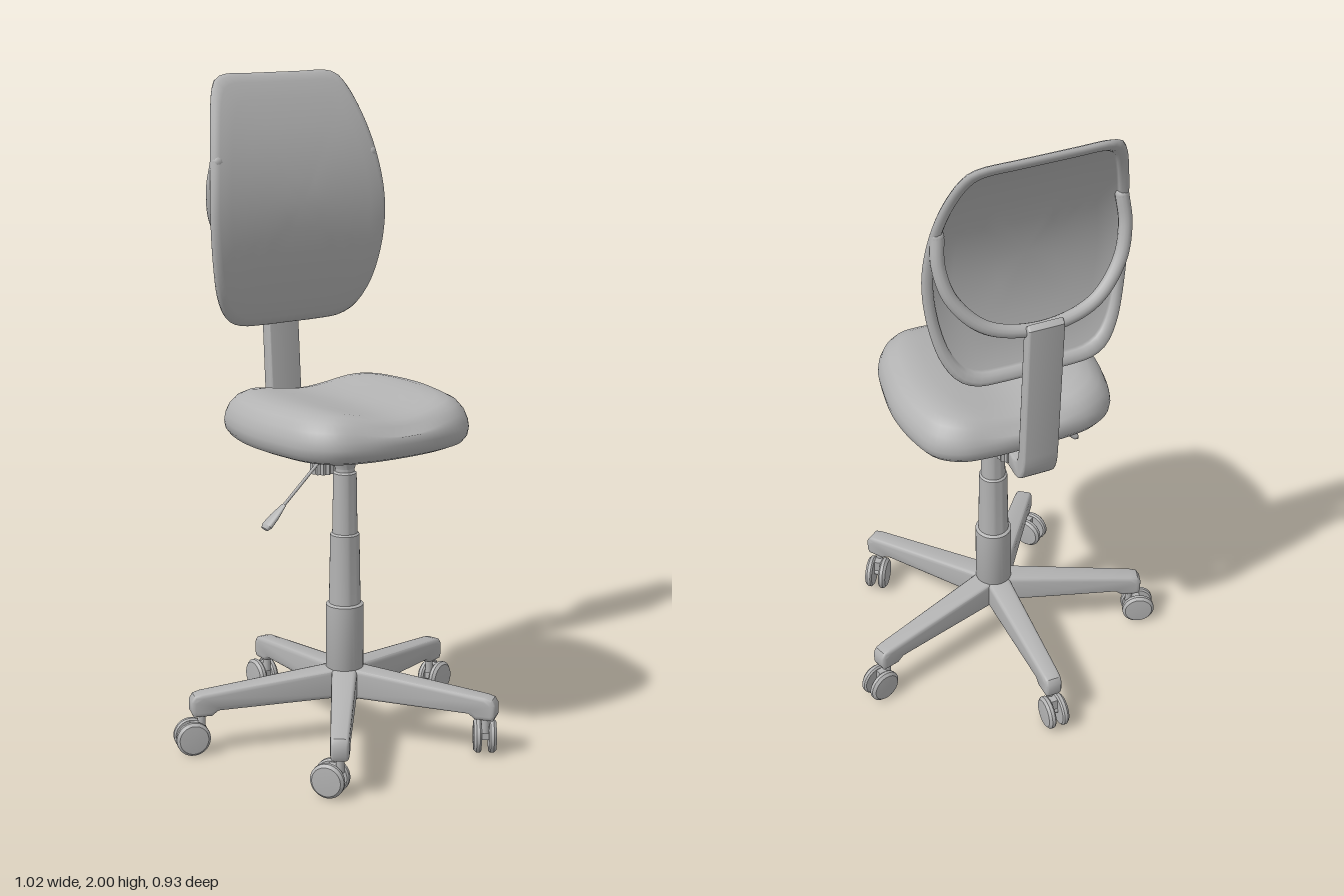
import * as THREE from 'three';
import { mergeVertices, toCreasedNormals } from 'three/addons/utils/BufferGeometryUtils.js';

const grey = new THREE.MeshStandardMaterial({ color: 0xb3b3b3 });
grey.name = 'plain grey';
const V = (x, y, z) => new THREE.Vector3(x, y, z);
const AXIS_Z = 0.07; // the column stands slightly forward of centre

function add(parent, name, geometry, x = 0, y = 0, z = 0) {
  const mesh = new THREE.Mesh(geometry, grey);
  mesh.name = name;
  mesh.position.set(x, y, z);
  parent.add(mesh);
  return mesh;
}

// Closed cushion: scaled copies of a mirrored outline, joined ring to ring
function cushion(half, centre, rings, place) {
  const pts = [...half, ...half.slice(1, -1).reverse().map(([u, v]) => [-u, v])].map(([u, v]) => V(u, v, 0));
  const n = 96;
  const loop = new THREE.CatmullRomCurve3(pts, true).getSpacedPoints(n).slice(0, n);
  const pos = [], index = [];
  rings.forEach(([s, h], i) => loop.forEach((p, j) => {
    pos.push(...place(p.x * s, centre + (p.y - centre) * s, h));
    if (i === rings.length - 1) return;
    const a = i * n + j, b = i * n + (j + 1) % n;
    index.push(a, a + n, b + n, a, b + n, b);
  }));
  let g = new THREE.BufferGeometry();
  g.setAttribute('position', new THREE.Float32BufferAttribute(pos, 3));
  g.setIndex(index);
  g = mergeVertices(g, 1e-5);
  g.computeVertexNormals();
  return g;
}

// Side profile in (z, y), extruded across x with rounded edges
function sideExtrude(shape, width, bevel) {
  const g = new THREE.ExtrudeGeometry(shape, {
    depth: width - 2 * bevel, bevelEnabled: true, bevelSize: bevel, bevelThickness: bevel,
    bevelOffset: -bevel, bevelSegments: 3, curveSegments: 10,
  });
  g.rotateY(-Math.PI / 2);
  g.translate(width / 2 - bevel, 0, 0);
  return g;
}

const lathe = (points, n = 32) =>
  toCreasedNormals(new THREE.LatheGeometry(points.map(([r, y]) => new THREE.Vector2(r, y)), n), 0.6);

function makeCaster() {
  const caster = new THREE.Group();
  caster.name = 'caster';
  add(caster, 'casterStem', new THREE.CylinderGeometry(0.012, 0.012, 0.07, 16), 0, 0.11, 0);
  add(caster, 'casterBody', new THREE.BoxGeometry(0.022, 0.045, 0.04), 0, 0.075, 0.015);
  for (const side of [-1, 1]) {
    // domed wheel with its flat face inward
    const wheel = lathe([[0, 0], [0.047, 0], [0.052, 0.005], [0.052, 0.015], [0.044, 0.023], [0, 0.026]]);
    wheel.rotateZ(-side * Math.PI / 2);
    add(caster, 'casterWheel', wheel, side * 0.011, 0.053, 0.03);
  }
  const axle = new THREE.CylinderGeometry(0.01, 0.01, 0.03, 12);
  axle.rotateZ(Math.PI / 2);
  add(caster, 'casterAxle', axle, 0, 0.053, 0.03);
  return caster;
}

function makeBase() {
  const base = new THREE.Group();
  base.name = 'starBase';
  base.position.z = AXIS_Z;
  const profile = new THREE.Shape([[0, 0.14], [0.4, 0.135], [0.42, 0.12], [0.475, 0.12], [0.482, 0.135],
    [0.482, 0.17], [0.472, 0.186], [0.45, 0.192], [0, 0.237]].map(([z, y]) => new THREE.Vector2(z, y)));
  const arm = sideExtrude(profile, 0.08, 0.014);
  // taper the arm towards its tip
  const p = arm.attributes.position;
  for (let i = 0; i < p.count; i++) p.setX(i, p.getX(i) * (1 - 0.32 * p.getZ(i) / 0.48));
  const armGeometry = toCreasedNormals(arm, 0.7);

  // arm direction and the way its caster has swivelled, in degrees
  for (const [angle, heading] of [[36, 145], [-36, -145], [108, 108], [-108, -108], [180, 180]]) {
    const a = THREE.MathUtils.degToRad(angle);
    add(base, 'baseArm', armGeometry).rotation.y = a;
    const caster = makeCaster();
    caster.position.set(Math.sin(a) * 0.448, 0, Math.cos(a) * 0.448);
    caster.rotation.y = THREE.MathUtils.degToRad(heading);
    base.add(caster);
  }
  return base;
}

export function createModel() {
  const chair = new THREE.Group();
  chair.name = 'officeChair';
  chair.add(makeBase());

  // telescopic column flaring into the seat plate
  add(chair, 'column', lathe([[0, 0.13], [0.045, 0.13], [0.057, 0.15], [0.057, 0.43], [0.048, 0.435], [0.044, 0.65],
    [0.038, 0.655], [0.035, 0.84], [0.029, 0.845], [0.029, 0.865]]), 0, 0, AXIS_Z);
  add(chair, 'seatPlate', lathe([[0, 0.855], [0.03, 0.855], [0.036, 0.882], [0.055, 0.905], [0.09, 0.923],
    [0.14, 0.934], [0.17, 0.938], [0.172, 0.955]], 40), 0, 0, AXIS_Z);

  // padded saddle-shaped seat
  const seatHalf = [[0, -0.402], [0.13, -0.393], [0.23, -0.36], [0.287, -0.29], [0.316, -0.17], [0.327, -0.06],
    [0.315, 0.06], [0.282, 0.155], [0.215, 0.203], [0.12, 0.218], [0, 0.22]];
  const seatRings = [[0, 1.09], [0.15, 1.09], [0.3, 1.09], [0.45, 1.09], [0.6, 1.09], [0.72, 1.089], [0.82, 1.083],
    [0.9, 1.069], [0.96, 1.045], [0.99, 1.02], [1, 0.998], [0.99, 0.976], [0.95, 0.958], [0.88, 0.948],
    [0.75, 0.943], [0.4, 0.943], [0, 0.943]];
  add(chair, 'seat', cushion(seatHalf, -0.09, seatRings, (u, v, h) => {
    const dip = h > 1.03 ? 0.026 * Math.max(0, 1 - (u / 0.22) ** 2) ** 2 : 0;
    return [u, h - dip, -v];
  }));

  // backrest bent over its height, with a raised rim behind
  const bend = (y) => -0.152 - (y > 1.57 ? 0.72 : 0.62) * (y - 1.57) ** 2;
  const backHalf = [[0, 1.25], [0.1, 1.25], [0.18, 1.256], [0.228, 1.28], [0.268, 1.34], [0.297, 1.45], [0.309, 1.6],
    [0.292, 1.76], [0.265, 1.88], [0.238, 1.955], [0.215, 1.988], [0.18, 2], [0.09, 2], [0, 2]];
  const backRings = [[0, 0], [0.2, 0], [0.4, 0], [0.6, 0], [0.8, 0], [0.93, 0], [0.98, -0.004], [1, -0.014],
    [0.992, -0.025], [0.96, -0.032], [0.92, -0.03], [0.9, -0.022], [0.895, -0.012], [0.7, -0.012], [0.5, -0.012],
    [0.3, -0.012], [0, -0.012]];
  add(chair, 'backrest', cushion(backHalf, 1.62, backRings, (u, v, h) => [u, v, bend(v) + h]));

  // curved cradle tying the backrest rim to the upright
  const cradle = new THREE.CatmullRomCurve3([V(-0.272, 1.755, -0.195), V(-0.277, 1.67, -0.212), V(-0.25, 1.57, -0.238),
    V(-0.16, 1.475, -0.268), V(0, 1.44, -0.28), V(0.16, 1.475, -0.268), V(0.25, 1.57, -0.238), V(0.277, 1.67, -0.212),
    V(0.272, 1.755, -0.195)]);
  add(chair, 'backCradle', new THREE.TubeGeometry(cradle, 64, 0.02, 12));
  for (const side of [-1, 1]) add(chair, 'cradleEnd', new THREE.SphereGeometry(0.02, 16, 10), side * 0.272, 1.755, -0.195);

  // upright bar curving under the seat
  const bar = new THREE.Shape();
  bar.moveTo(-0.17, 0.885);
  bar.lineTo(-0.22, 0.882);
  bar.bezierCurveTo(-0.265, 0.885, -0.283, 0.93, -0.287, 0.99);
  bar.lineTo(-0.315, 1.46);
  bar.lineTo(-0.298, 1.472);
  bar.lineTo(-0.275, 1.45);
  bar.lineTo(-0.246, 1.02);
  bar.bezierCurveTo(-0.243, 0.96, -0.235, 0.942, -0.205, 0.94);
  bar.lineTo(-0.17, 0.94);
  add(chair, 'backUpright', toCreasedNormals(sideExtrude(bar, 0.11, 0.007), 0.6));
  add(chair, 'backBracket', new THREE.BoxGeometry(0.07, 0.032, 0.26), 0, 0.922, -0.08);

  // fluted adjusting knob
  add(chair, 'knobStem', new THREE.CylinderGeometry(0.01, 0.01, 0.08, 16), 0, 0.88, -0.05);
  const flutes = new THREE.Shape();
  for (let i = 0; i < 72; i++) {
    const a = i / 72 * Math.PI * 2, r = 0.035 + 0.003 * Math.cos(a * 12);
    flutes[i ? 'lineTo' : 'moveTo'](r * Math.cos(a), r * Math.sin(a));
  }
  const knob = new THREE.ExtrudeGeometry(flutes, { depth: 0.035, bevelEnabled: false });
  knob.rotateX(-Math.PI / 2);
  add(chair, 'knob', toCreasedNormals(knob, 0.6), 0, 0.813, -0.05);

  // height lever: thin rod with a flattened paddle
  const lever = new THREE.Group();
  lever.name = 'heightLever';
  lever.position.set(-0.05, 0.925, AXIS_Z);
  lever.rotation.z = Math.atan2(-0.21, -0.23) + Math.PI / 2;
  add(lever, 'leverRod', new THREE.CylinderGeometry(0.005, 0.005, 0.25, 10), 0, -0.125, 0);
  const paddle = lathe([[0, -0.32], [0.015, -0.317], [0.022, -0.305], [0.019, -0.27], [0.009, -0.225], [0, -0.222]], 20);
  paddle.scale(0.5, 1, 1);
  add(lever, 'leverPaddle', paddle);
  chair.add(lever);

  return chair;
}
